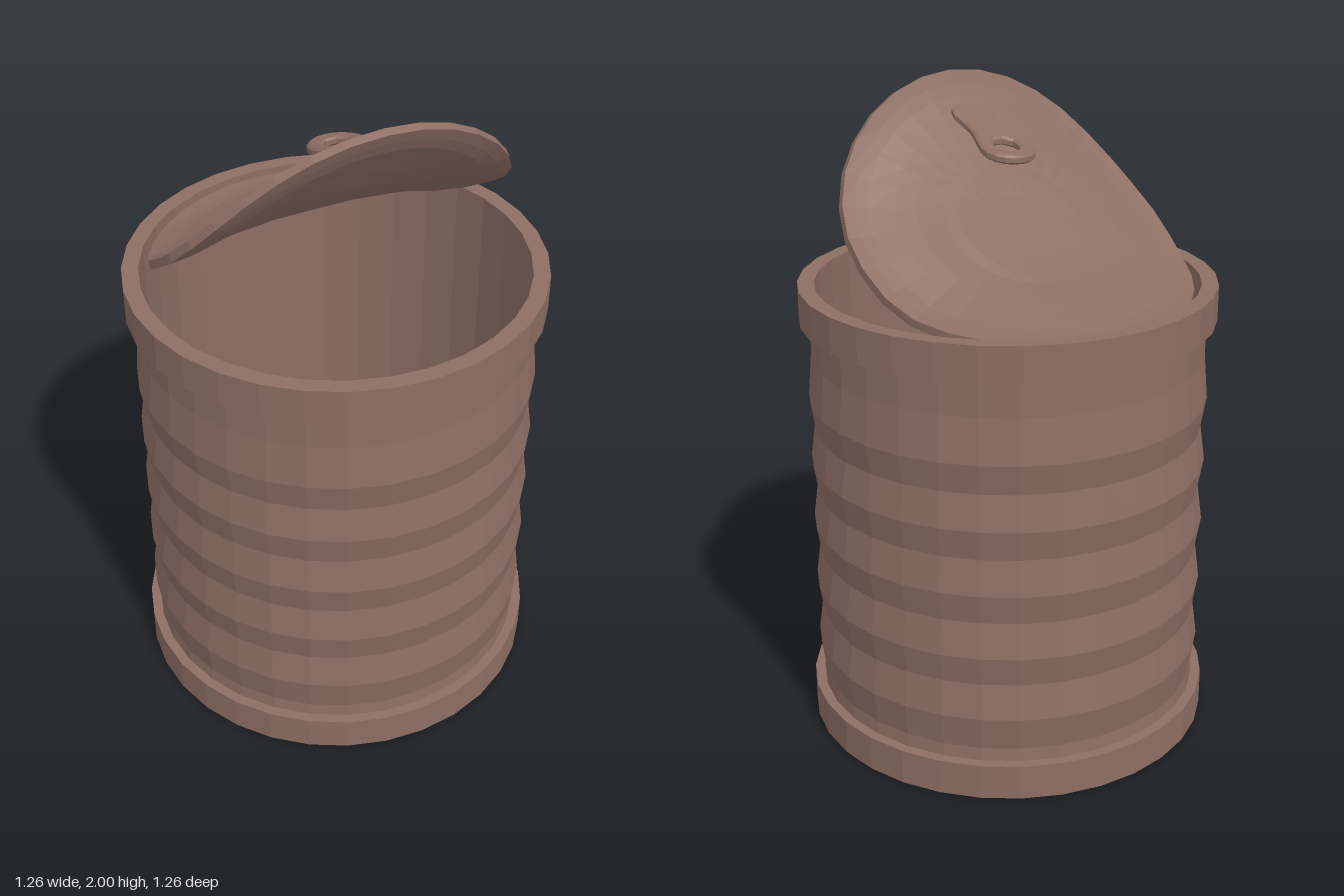
import * as THREE from 'three';

const SEGMENTS = 32;

export function createModel() {
  const can = new THREE.Group();
  can.name = 'openCan';
  const metal = new THREE.MeshStandardMaterial({ color: 0x8d6e63, flatShading: true });

  const add = (name, geometry) => {
    const mesh = new THREE.Mesh(geometry, metal);
    mesh.name = name;
    can.add(mesh);
    return mesh;
  };
  // Profiles run from the bottom axis outward and up, so faces point outward
  const lathe = (points) =>
    new THREE.LatheGeometry(points.map(([r, y]) => new THREE.Vector2(r, y)), SEGMENTS);

  // Ribbed outer wall: five bulges, each with a shallow waist below it
  const wall = [[0.6, 0.1], [0.595, 0.15]];
  for (let i = 0; i < 5; i++) {
    const y = 0.255 + i * 0.202;
    wall.push([0.61, y]);
    if (i < 4) wall.push([0.595, y + 0.11]);
  }
  wall.push([0.598, 1.2], [0.598, 1.32]);
  add('ribbedWall', lathe(wall));

  // Smooth inside wall and floor
  add('innerWall', lathe([[0.58, 1.4], [0.58, 0.05], [0, 0.05]]));

  // Bottom rim with a recessed base
  add('bottomRim', lathe([
    [0, 0.02], [0.4, 0.02], [0.43, 0.012], [0.47, 0.012], [0.49, 0],
    [0.63, 0], [0.63, 0.11], [0.59, 0.11],
  ]));

  // Top rim
  add('topRim', lathe([[0.59, 1.31], [0.63, 1.31], [0.63, 1.42], [0.58, 1.42], [0.58, 1.38]]));

  // Lid: a domed disc with pressed rings, bent along a curve from hinge to tip
  const radius = 0.56, thickness = 0.025;
  const dome = [
    [0, 0.05], [0.12, 0.05], [0.21, 0.049], [0.25, 0.043], [0.34, 0.036],
    [0.4, 0.026], [0.48, 0.007], [0.52, 0.002], [radius, 0],
  ];
  const top = dome.map(([r, y]) => [r, y + thickness]).reverse();
  const lid = lathe([...dome, ...top]);
  const bend = new THREE.CatmullRomCurve3([
    [-0.575, 1.375], [-0.38, 1.388], [-0.2, 1.43], [-0.05, 1.52],
    [0.08, 1.62], [0.18, 1.735], [0.25, 1.855], [0.31, 1.99],
  ].map(([z, y]) => new THREE.Vector3(0, y, z)));
  const pos = lid.attributes.position;
  for (let i = 0; i < pos.count; i++) {
    const u = THREE.MathUtils.clamp((pos.getZ(i) / radius + 1) / 2, 0, 1);
    const p = bend.getPointAt(u), t = bend.getTangentAt(u), h = pos.getY(i);
    pos.setXYZ(i, pos.getX(i) * 0.965, p.y + t.z * h, p.z - t.y * h);
  }
  lid.computeVertexNormals();
  add('lid', lid);

  // Pull tab: round head with a hole, narrow neck, flared end (drawn in x and -z)
  const tab = new THREE.Shape();
  const headZ = 0.005, headR = 0.079;
  for (let i = 0; i <= 12; i++) {
    const a = -0.5 + (i / 12) * (Math.PI + 1);
    const x = Math.cos(a) * headR, y = Math.sin(a) * headR - headZ;
    if (i === 0) tab.moveTo(x, y); else tab.lineTo(x, y);
  }
  const side = [[0.05, -0.1], [0.05, -0.13], [0.06, -0.175], [0.056, -0.19], [0.03, -0.2]];
  side.forEach(([x, y]) => tab.lineTo(-x, y));
  side.slice().reverse().forEach(([x, y]) => tab.lineTo(x, y));
  const hole = new THREE.Path();
  for (let i = 0; i < 8; i++) {
    const a = (-i / 8) * Math.PI * 2 + Math.PI / 8;
    const x = Math.cos(a) * 0.048, y = Math.sin(a) * 0.048 - 0.008;
    if (i === 0) hole.moveTo(x, y); else hole.lineTo(x, y);
  }
  hole.closePath();
  tab.holes.push(hole);
  const tabGeometry = new THREE.ExtrudeGeometry(tab, {
    depth: 0.014, bevelEnabled: true, bevelSize: 0.006, bevelThickness: 0.006, bevelSegments: 1,
  });
  tabGeometry.rotateX(-Math.PI / 2);
  // Curve the tab upward toward the lid tip
  const tp = tabGeometry.attributes.position;
  for (let i = 0; i < tp.count; i++) {
    const z = tp.getZ(i);
    tp.setY(i, tp.getY(i) + 1.8 + 0.28 * z + 0.9 * z * z);
  }
  tabGeometry.computeVertexNormals();
  add('pullTab', tabGeometry);

  // Small rivet joining the tab to the lid
  const rivet = add('rivet', new THREE.CylinderGeometry(0.02, 0.02, 0.05, 8));
  rivet.position.set(0, 1.87, 0.18);
  rivet.rotation.x = -0.6;

  return can;
}
